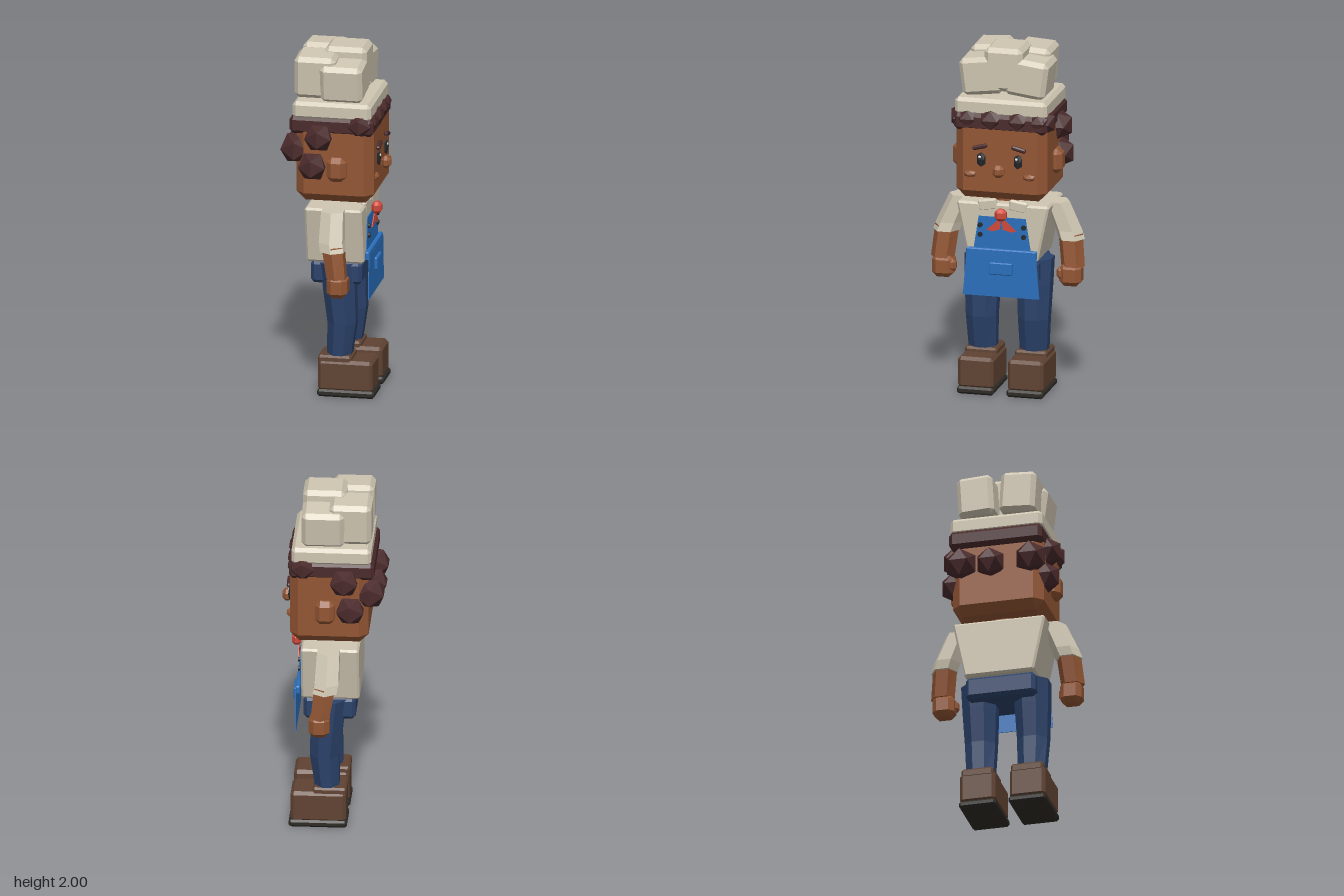
import * as THREE from 'three';
import { ConvexGeometry } from 'three/addons/geometries/ConvexGeometry.js';

const mat = (name, color) => {
  const m = new THREE.MeshStandardMaterial({ color });
  m.name = name;
  return m;
};

// Box with chamfered edges; taper scales the bottom in z
function chamferBox(w, h, d, c, taper = 1) {
  const pts = [];
  for (const sx of [-1, 1]) for (const sy of [-1, 1]) for (const sz of [-1, 1]) {
    const t = sy < 0 ? taper : 1;
    const x = w / 2, y = h / 2, z = (d / 2) * t;
    pts.push(
      new THREE.Vector3(sx * x, sy * (y - c), sz * (z - c)),
      new THREE.Vector3(sx * (x - c), sy * y, sz * (z - c)),
      new THREE.Vector3(sx * (x - c), sy * (y - c), sz * z));
  }
  return new ConvexGeometry(pts);
}

// Faceted limb from horizontal rings [x, y, z, rx, rz], listed bottom to top
function loft(rings, n) {
  const pos = [];
  const pt = ([x, y, z, rx, rz], i) => {
    const a = ((i + 0.5) / n) * Math.PI * 2;
    return [x + Math.cos(a) * rx, y, z + Math.sin(a) * rz];
  };
  for (let i = 0; i < n; i++) {
    for (let k = 0; k < rings.length - 1; k++) {
      const a = pt(rings[k], i), b = pt(rings[k], i + 1);
      const c = pt(rings[k + 1], i), d = pt(rings[k + 1], i + 1);
      pos.push(...b, ...a, ...c, ...b, ...c, ...d);
    }
    const lo = rings[0], hi = rings[rings.length - 1];
    pos.push(...lo.slice(0, 3), ...pt(lo, i), ...pt(lo, i + 1));
    pos.push(...hi.slice(0, 3), ...pt(hi, i + 1), ...pt(hi, i));
  }
  const g = new THREE.BufferGeometry();
  g.setAttribute('position', new THREE.Float32BufferAttribute(pos, 3));
  g.computeVertexNormals();
  return g;
}

// Thin plate facing +x, outlined by [z, y] points
function plate(points, thick = 0.005) {
  const s = new THREE.Shape(points.map(([z, y]) => new THREE.Vector2(-z, y)));
  return new THREE.ExtrudeGeometry(s, { depth: thick, bevelEnabled: false }).rotateY(Math.PI / 2);
}

export function createModel() {
  const group = new THREE.Group();
  group.name = 'cook';
  const cream = mat('cream cloth', 0xcfc6b2), skin = mat('brown skin', 0x935634);
  const hair = mat('dark hair', 0x4a2a2b), blue = mat('apron blue', 0x2b70bd);
  const navy = mat('navy trousers', 0x2b426a), red = mat('scarf red', 0xd0493b);
  const leather = mat('shoe leather', 0x604332), rubber = mat('sole', 0x2e2b26);
  const dark = mat('eye dark', 0x25282c), white = mat('eye glint', 0xe8e8e4);

  const add = (name, geo, m, x = 0, y = 0, z = 0) => {
    const mesh = new THREE.Mesh(geo, m);
    mesh.name = name;
    mesh.position.set(x, y, z);
    group.add(mesh);
    return mesh;
  };
  const box = (name, m, x, y, z, w, h, d, c, taper) => add(name, chamferBox(w, h, d, c, taper), m, x, y, z);
  const ball = (name, m, x, y, z, r, sx = 1, sy = 1, sz = 1) => {
    const b = add(name, new THREE.IcosahedronGeometry(r, 0), m, x, y, z);
    b.scale.set(sx, sy, sz);
    return b;
  };

  // Hat: band and five puffs
  box('hatBand', cream, 0.007, 1.665, 0, 0.445, 0.1, 0.53, 0.02);
  box('hatPuffCentre', cream, 0.055, 1.872, 0, 0.24, 0.25, 0.22, 0.025);
  for (const s of [1, -1]) {
    box('hatPuffFront', cream, 0.055, 1.828, s * 0.131, 0.24, 0.215, 0.235, 0.025).rotation.x = s * 0.13;
    box('hatPuffBack', cream, -0.097, 1.848, s * 0.122, 0.235, 0.24, 0.205, 0.025).rotation.x = s * 0.06;
  }

  // Head, neck and face
  box('head', skin, 0.02, 1.37, 0, 0.44, 0.47, 0.525, 0.05);
  add('neck', loft([[0.02, 1.05, 0, 0.1, 0.1], [0.02, 1.16, 0, 0.1, 0.1]], 8), skin);
  box('nose', skin, 0.268, 1.315, 0, 0.055, 0.07, 0.066, 0.02);
  for (const s of [1, -1]) {
    box('ear', skin, 0.04, 1.34, s * 0.28, 0.11, 0.14, 0.07, 0.028);
    ball('eye', dark, 0.243, 1.37, s * 0.106, 0.045, 0.35, 1.05, 0.62);
    ball('eyeGlint', white, 0.256, 1.388, s * 0.106 + 0.006, 0.009, 0.5, 1, 1);
    box('brow', hair, 0.25, 1.445, s * 0.112, 0.024, 0.024, 0.085, 0.007).rotation.x = s * 0.25;
    ball('cheek', skin, 0.243, 1.283, s * 0.17, 0.04, 0.5, 0.55, 1);
  }

  // Hair: cap under the hat and faceted curls
  box('hairCap', hair, 0.005, 1.58, 0, 0.475, 0.1, 0.535, 0.02);
  for (const s of [1, -1]) {
    ball('curlTemple', hair, 0.165, 1.59, s * 0.235, 0.075);
    ball('curlSide', hair, -0.065, 1.515, s * 0.26, 0.088);
    ball('curlBehindEar', hair, -0.1, 1.345, s * 0.26, 0.088);
    ball('curlBackCorner', hair, -0.205, 1.43, s * 0.2, 0.095);
  }
  ball('curlBack', hair, -0.215, 1.42, -0.03, 0.088);
  for (const [z, r] of [[0.19, 0.06], [0.055, 0.07], [-0.1, 0.065], [-0.215, 0.055]])
    ball('fringeCurl', hair, 0.215, 1.597, z, r, 0.75, 0.9, 1.15);

  // Shirt, collar and scarf
  box('shirt', cream, 0.015, 0.935, 0, 0.325, 0.33, 0.53, 0.012, 0.76);
  for (const s of [1, -1]) {
    box('collar', cream, 0.165, 1.088, s * 0.088, 0.03, 0.065, 0.11, 0.01).rotation.x = s * 0.15;
    add('scarfTail', plate([[0, 1.03], [s * 0.085, 0.955], [s * 0.055, 0.945], [s * 0.008, 0.96]].slice(0, 4)
      .sort((a, b) => 0)), red, 0.2);
  }
  box('scarfKnot', red, 0.215, 1.047, 0, 0.055, 0.068, 0.066, 0.018);

  // Apron: bib, belt, skirt, pocket and buttons
  add('apronBib', plate([[-0.135, 1.025], [0.135, 1.025], [0.165, 0.83], [-0.165, 0.83]]), blue, 0.184);
  box('apronBelt', blue, 0.197, 0.818, 0, 0.026, 0.05, 0.405, 0.006);
  add('apronSkirt', plate([[-0.2, 0.82], [0.2, 0.82], [0.22, 0.57], [-0.22, 0.57]]), blue, 0.206);
  box('apronPocket', blue, 0.22, 0.735, 0, 0.018, 0.07, 0.132, 0.005);
  for (const s of [1, -1]) for (const y of [0.975, 0.92])
    add('button', new THREE.CylinderGeometry(0.014, 0.014, 0.014, 8).rotateZ(-Math.PI / 2), dark, 0.194, y, s * 0.125);

  // Arms with sleeves, hands and thumbs
  for (const s of [1, -1]) {
    add('sleeve', loft([[0.035, 0.89, s * 0.36, 0.077, 0.077], [0.025, 0.94, s * 0.342, 0.077, 0.077],
      [0.02, 1.1, s * 0.275, 0.072, 0.07]], 6), cream);
    add('forearm', loft([[0.06, 0.74, s * 0.375, 0.06, 0.068], [0.035, 0.92, s * 0.355, 0.068, 0.07]], 6), skin);
    box('hand', skin, 0.065, 0.692, s * 0.367, 0.115, 0.13, 0.125, 0.028);
    box('thumb', skin, 0.085, 0.7, s * 0.312, 0.055, 0.065, 0.045, 0.015);
  }

  // Trousers
  box('hips', navy, 0.02, 0.71, 0, 0.29, 0.13, 0.4, 0.02);
  for (const s of [1, -1]) {
    add('trouserLeg', loft([[0.032, 0.2, s * 0.147, 0.072, 0.083], [0.05, 0.42, s * 0.15, 0.087, 0.094],
      [0.035, 0.62, s * 0.15, 0.098, 0.104], [0.02, 0.765, s * 0.152, 0.1, 0.106]], 8), navy);
  }

  // Shoes
  for (const s of [1, -1]) {
    box('shoe', leather, 0.08, 0.122, s * 0.143, 0.31, 0.18, 0.205, 0.018);
    box('shoeCuff', leather, 0.018, 0.21, s * 0.143, 0.19, 0.055, 0.185, 0.012);
    box('shoeSole', rubber, 0.083, 0.021, s * 0.143, 0.325, 0.042, 0.212, 0.012);
  }
  return group;
}
